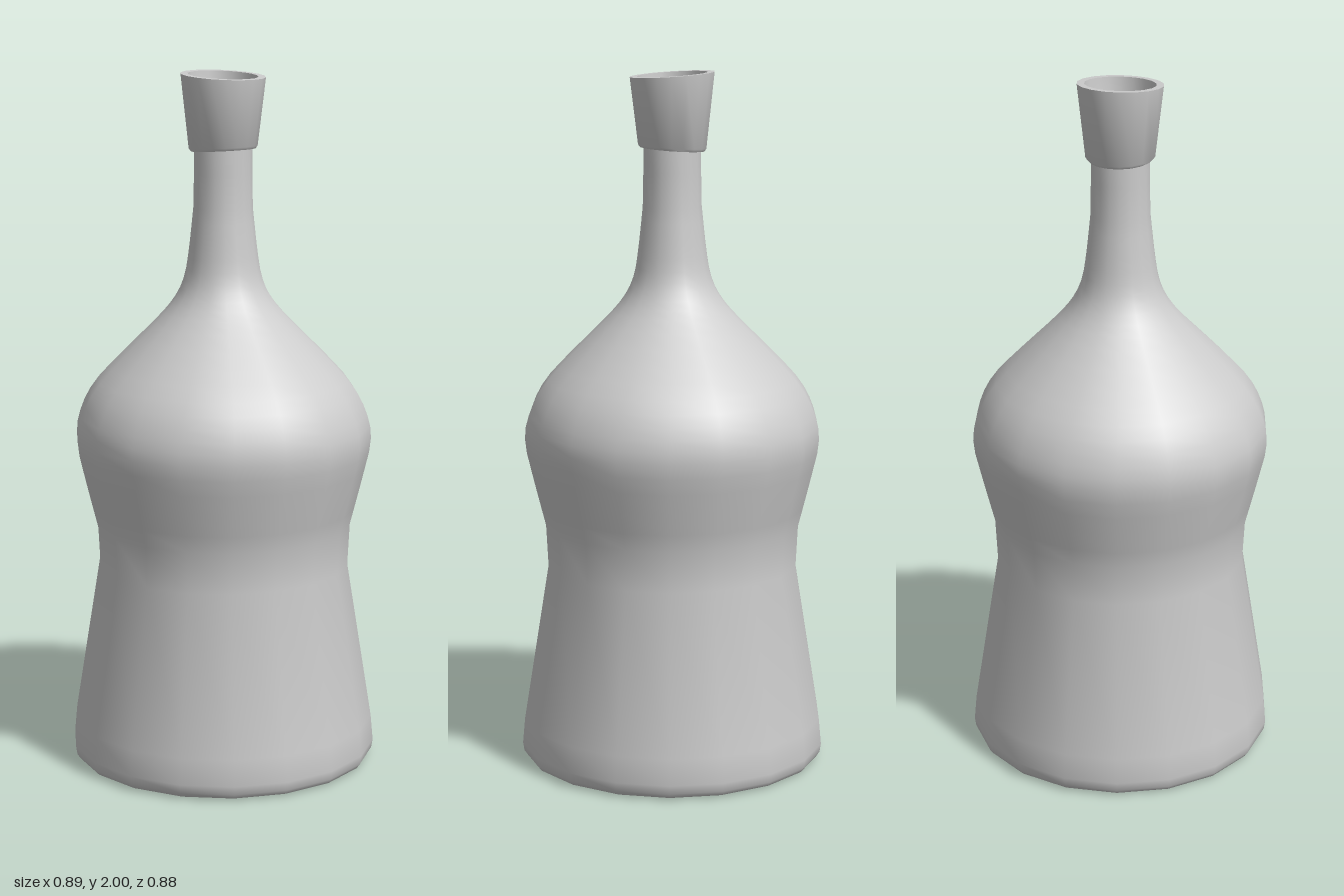
import * as THREE from 'three';
import { toCreasedNormals } from 'three/addons/utils/BufferGeometryUtils.js';

const SIDES = 18;
const material = new THREE.MeshStandardMaterial({ color: 0xcccccc });

// Turn a list of [radius, height] pairs around the y axis, with a corner on the x axis.
function turn(points) {
  const profile = points.map(([r, y]) => new THREE.Vector2(r, y));
  return new THREE.LatheGeometry(profile, SIDES, Math.PI / 2);
}

function addPart(group, name, geometry) {
  const mesh = new THREE.Mesh(toCreasedNormals(geometry, 0.7), material);
  mesh.name = name;
  group.add(mesh);
}

export function createModel() {
  const group = new THREE.Group();
  group.name = 'bottle';

  // Body: rounded foot, tapered lower half, waist, bulging shoulder, slim neck
  const shoulder = new THREE.SplineCurve([
    [0.37, 0.7], [0.405, 0.84], [0.428, 0.95], [0.415, 1.03], [0.373, 1.11],
    [0.29, 1.2], [0.19, 1.3], [0.14, 1.36], [0.112, 1.42], [0.098, 1.5], [0.085, 1.62],
  ].map(([r, y]) => new THREE.Vector2(r, y))).getPoints(24).map((p) => [p.x, p.y]);
  addPart(group, 'body', turn([
    [0, 0], [0.415, 0], [0.432, 0.007], [0.441, 0.02], [0.445, 0.045], [0.438, 0.12],
    [0.364, 0.58], ...shoulder, [0.083, 1.72], [0.083, 1.82], [0, 1.82],
  ]));

  // Collar: flared open ring whose rim and lower edge slope in opposite directions
  const collar = turn([
    [0.078, 1.782], [0.092, 1.782], [0.098, 1.79], [0.121, 1.992],
    [0.1, 1.992], [0.083, 1.8], [0.078, 1.782],
  ]);
  const pos = collar.attributes.position;
  for (let i = 0; i < pos.count; i++) {
    const slope = THREE.MathUtils.mapLinear(pos.getY(i), 1.782, 1.992, 0.07, -0.066);
    pos.setY(i, pos.getY(i) + slope * pos.getX(i));
  }
  addPart(group, 'collar', collar);

  return group;
}
